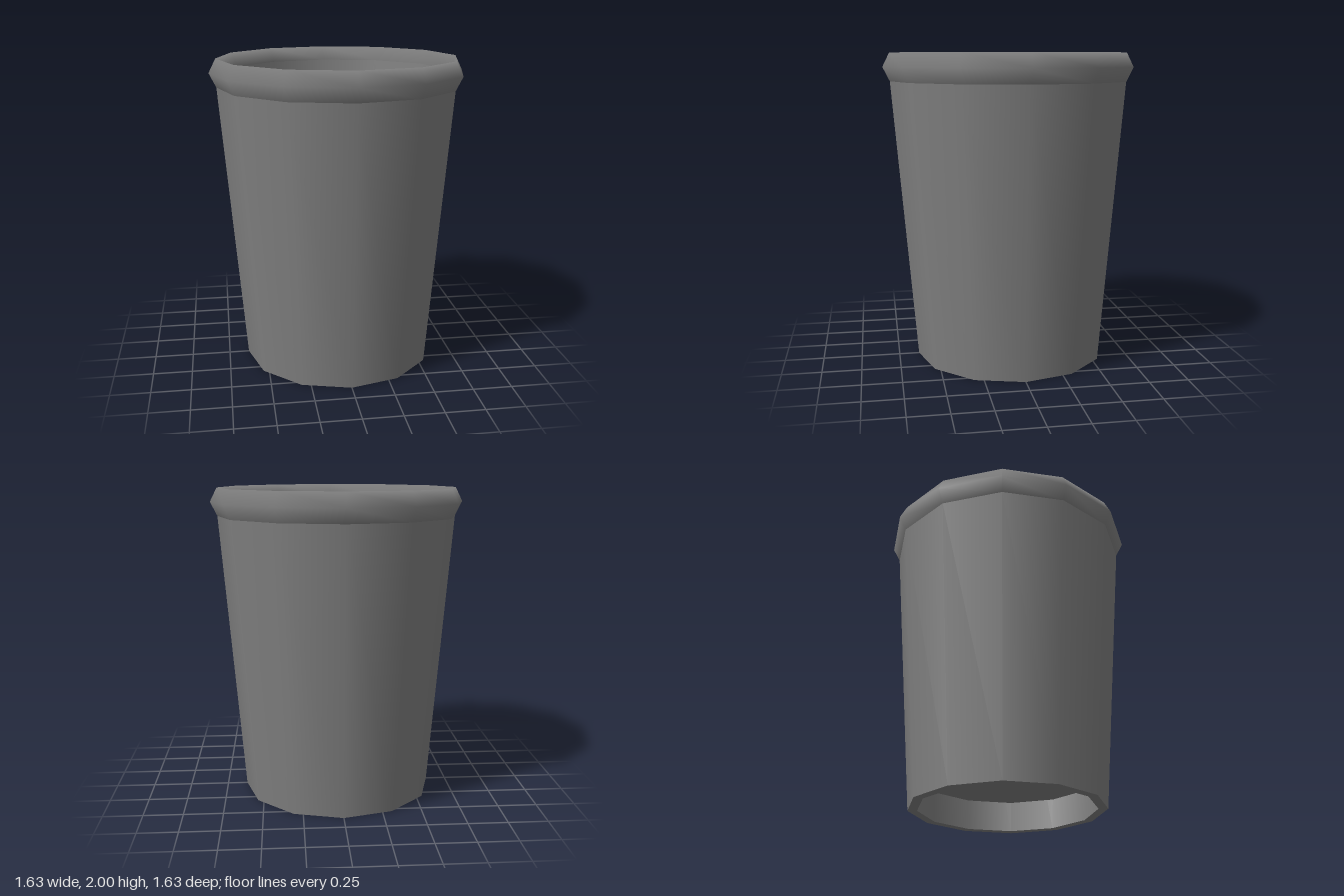
import * as THREE from 'three';

const SIDES = 12;

export function createModel() {
  const grey = new THREE.MeshStandardMaterial({ color: 0x808080 });
  grey.name = 'grey';
  const greyTwoSided = new THREE.MeshStandardMaterial({ color: 0x808080, side: THREE.DoubleSide });
  greyTwoSided.name = 'grey two-sided';

  const cup = new THREE.Group();
  cup.name = 'cup';

  // Revolves a profile of [radius, height] points into a twelve-sided band
  const band = (name, profile) => {
    const points = profile.map(([r, y]) => new THREE.Vector2(r, y));
    const mesh = new THREE.Mesh(new THREE.LatheGeometry(points, SIDES), grey);
    mesh.name = name;
    cup.add(mesh);
  };

  // Tapered wall, separate bands keep the edges sharp
  band('outerWall', [[0.62, 0], [0.77, 1.82]]);
  band('innerWall', [[0.72, 1.91], [0.56, 0]]);
  band('footRing', [[0.56, 0], [0.62, 0]]);

  // Rolled lip, softly shaded across its four faces
  band('rim', [[0.77, 1.82], [0.815, 1.91], [0.77, 2], [0.72, 1.91], [0.77, 1.82]]);

  // Raised floor, leaving a recess underneath
  const floor = new THREE.Mesh(new THREE.CircleGeometry(0.577, SIDES), greyTwoSided);
  floor.name = 'floor';
  floor.rotation.x = -Math.PI / 2;
  floor.position.y = 0.2;
  cup.add(floor);

  return cup;
}
